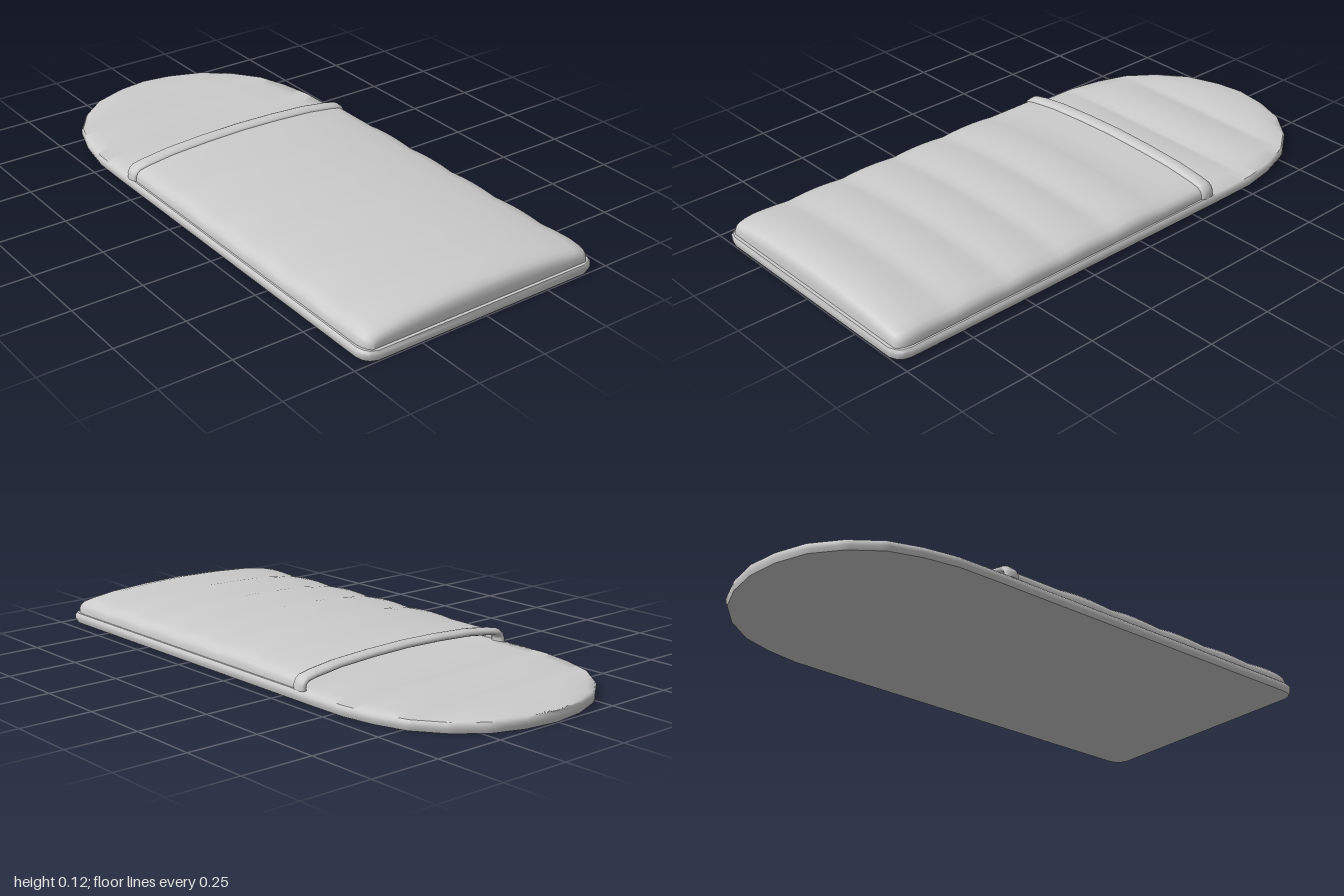
import * as THREE from 'three';
import { toCreasedNormals } from 'three/addons/utils/BufferGeometryUtils.js';

// Skin a list of rows (each an equal-length list of [x, y, z]) with quads
function loft(rows, crease = 0.8) {
  const n = rows[0].length, index = [];
  for (let i = 0; i < rows.length - 1; i++) {
    for (let j = 0; j < n - 1; j++) {
      const a = i * n + j, d = a + n;
      index.push(a, a + 1, d + 1, a, d + 1, d);
    }
  }
  const g = new THREE.BufferGeometry();
  g.setAttribute('position', new THREE.Float32BufferAttribute(rows.flat(2), 3));
  g.setIndex(index);
  return toCreasedNormals(g, crease);
}

// Linear interpolation through [key, value] pairs
function lerpTable(table, k) {
  if (k <= table[0][0]) return table[0][1];
  for (let i = 1; i < table.length; i++) {
    const [k0, v0] = table[i - 1], [k1, v1] = table[i];
    if (k <= k1) return v0 + (v1 - v0) * (k - k0) / (k1 - k0);
  }
  return table[table.length - 1][1];
}

// Rounded bulges that meet in soft valleys at the given seams
function quilt(seams, z) {
  for (let i = 1; i < seams.length; i++) {
    if (z >= seams[i - 1] && z <= seams[i]) {
      const u = (z - seams[i - 1]) / (seams[i] - seams[i - 1]);
      return Math.pow(Math.sin(Math.PI * u), 0.85);
    }
  }
  return 0;
}

// Half width of the mat along z: round head, straight sides, small foot corners
const MAT_WIDTH = [
  [-1, 0], [-0.985, 0.12], [-0.945, 0.23], [-0.87, 0.325], [-0.77, 0.4],
  [-0.66, 0.437], [-0.54, 0.458], [-0.4, 0.46], [0.95, 0.46], [0.975, 0.453],
  [0.99, 0.44], [1, 0.415],
];
const HEAD_SEAMS = [-1.01, -0.765, -0.535, -0.3];

function matGeometry() {
  const zs = MAT_WIDTH.map((p) => p[0]);
  for (let z = -0.96; z < -0.28; z += 0.025) zs.push(z);
  zs.sort((a, b) => a - b);
  const rows = zs.map((z) => {
    const w = lerpTable(MAT_WIDTH, z), puff = 0.014 * quilt(HEAD_SEAMS, z);
    const row = [
      [-0.987 * w, 0, z * 0.996], [0.987 * w, 0, z * 0.996],
      [w, 0.014, z], [w, 0.027, z],
    ];
    for (let j = 0; j <= 16; j++) {
      const t = 1 - j / 8;
      row.push([t * w * 0.985, 0.035 + puff * (1 - t ** 4), z * 0.997]);
    }
    row.push([-w, 0.027, z], [-w, 0.014, z], [-0.987 * w, 0, z * 0.996]);
    return row;
  });
  // Close the foot end
  rows.push(rows[0].map(() => [0, 0.018, 0.999]));
  return loft(rows);
}

// Arch of the cover, from its left edge to the middle: [x, rise above the mat]
const HALF_ARCH = [
  [0.447, 0], [0.447, 0.018], [0.441, 0.034], [0.428, 0.046], [0.39, 0.055],
  [0.29, 0.07], [0.15, 0.079], [0, 0.083],
];
const ARCH = [...HALF_ARCH, ...HALF_ARCH.slice(0, -1).reverse().map(([x, y]) => [-x, y])];
const BASE = 0.034;
const COVER_SEAMS = [-0.11, 0.115, 0.335, 0.555, 0.775, 1.02];

function coverGeometry() {
  const row = (z, width, rise) => ARCH.map(([x, y]) => [x * width, BASE + y * rise, z]);
  const rows = [row(-0.335, 1, 0.85), row(-0.2, 1, 0.85)];
  for (let z = -0.11; z < 0.93; z += 0.0275) {
    rows.push(row(z, 1, 0.85 + 0.15 * quilt(COVER_SEAMS, z)));
  }
  // Rounded foot end
  [[0.94, 0.998, 0.92], [0.96, 0.988, 0.86], [0.975, 0.972, 0.75],
    [0.983, 0.955, 0.58], [0.986, 0.945, 0.35], [0.986, 0.945, 0]]
    .forEach((r) => rows.push(row(...r)));
  return loft(rows, 1);
}

// Rolled hem that follows the arch at the opening
function hemGeometry() {
  const rows = ARCH.map(([x, y], i) => {
    const p = ARCH[Math.max(i - 1, 0)], q = ARCH[Math.min(i + 1, ARCH.length - 1)];
    const nx = q[1] - p[1], ny = p[0] - q[0], len = Math.hypot(nx, ny);
    const ring = [];
    for (let j = 0; j <= 14; j++) {
      const a = (j / 14) * Math.PI * 2, r = 0.013 * Math.cos(a) - 0.003;
      ring.push([x + nx / len * r, BASE + y * 0.86 + ny / len * r, -0.325 - 0.028 * Math.sin(a)]);
    }
    return ring;
  });
  return loft(rows, 1.2);
}

export function createModel() {
  const group = new THREE.Group();
  group.name = 'sleepingBag';
  const grey = new THREE.MeshStandardMaterial({ color: 0xcccccc });
  const greyThin = new THREE.MeshStandardMaterial({ color: 0xcccccc, side: THREE.DoubleSide });
  const add = (name, geometry, material) => {
    const mesh = new THREE.Mesh(geometry, material);
    mesh.name = name;
    group.add(mesh);
  };
  add('mat', matGeometry(), grey);
  add('quiltedCover', coverGeometry(), greyThin);
  add('coverHem', hemGeometry(), greyThin);
  return group;
}
